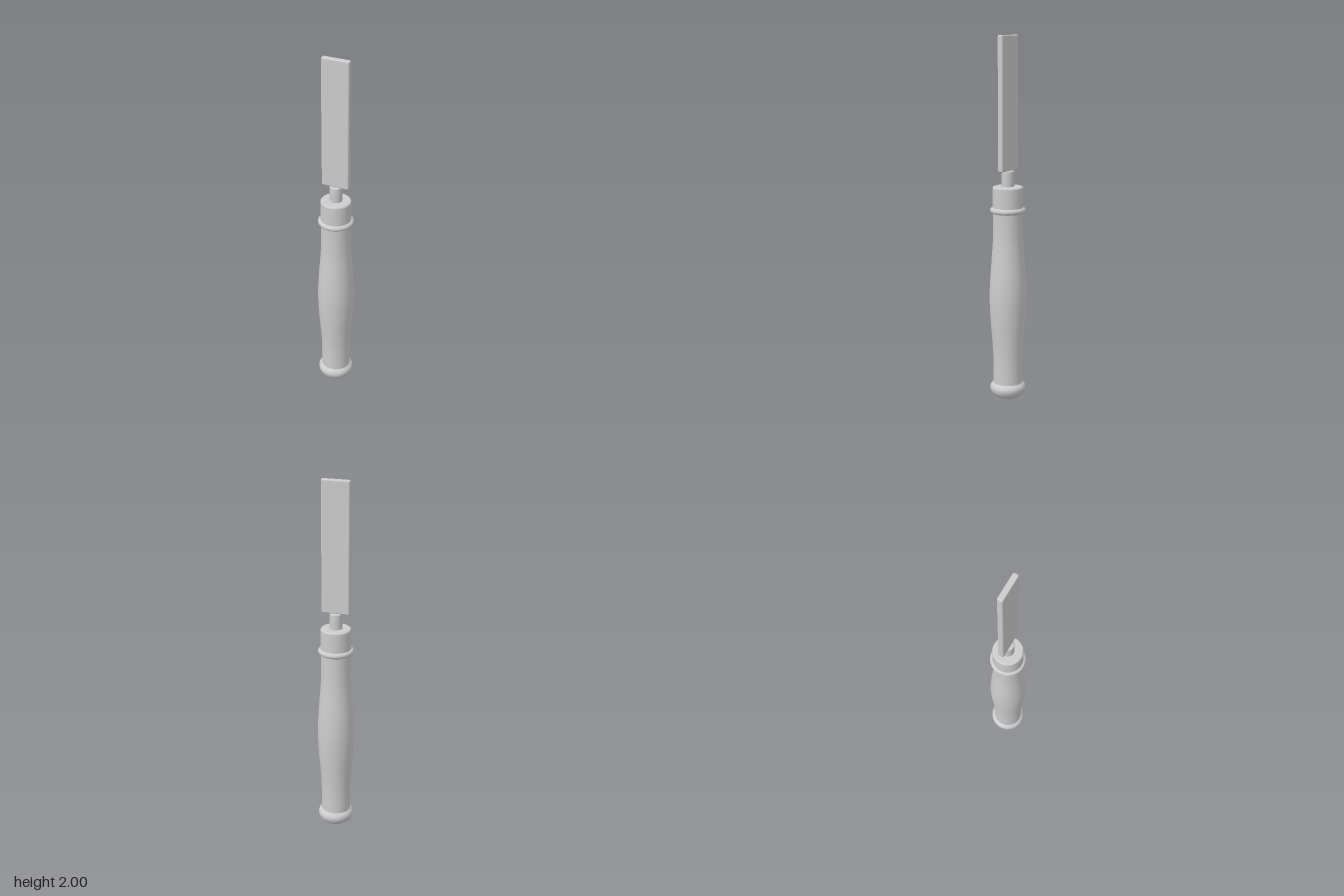
import * as THREE from 'three';
import { RoundedBoxGeometry } from 'three/addons/geometries/RoundedBoxGeometry.js';

export function createModel() {
  const group = new THREE.Group();
  const grey = new THREE.MeshStandardMaterial({ color: 0xcccccc });
  grey.name = 'plain grey';

  const add = (name, geometry, y = 0) => {
    const mesh = new THREE.Mesh(geometry, grey);
    mesh.name = name;
    mesh.position.y = y;
    group.add(mesh);
    return mesh;
  };
  const turned = (points) =>
    new THREE.LatheGeometry(points.map(([r, y]) => new THREE.Vector2(r, y)), 64);

  // Rounded butt knob: shallow dome below, tighter shoulder above
  const knob = [];
  for (let i = 0; i <= 24; i++) {
    const a = -Math.PI / 2 + (Math.PI * i) / 24;
    knob.push([Math.max(0, 0.099 * Math.cos(a)), 0.068 + (a < 0 ? 0.068 : 0.052) * Math.sin(a)]);
  }
  add('buttKnob', turned(knob));

  // Swelling grip
  const gripCurve = new THREE.SplineCurve([
    [0.081, 0.08], [0.081, 0.16], [0.082, 0.25], [0.088, 0.35], [0.096, 0.45], [0.101, 0.57],
    [0.098, 0.68], [0.09, 0.79], [0.083, 0.89], [0.081, 0.98], [0.081, 1.07],
  ].map(([r, y]) => new THREE.Vector2(r, y)));
  add('grip', new THREE.LatheGeometry(gripCurve.getPoints(50), 64));

  // Raised ring
  const ring = add('collarRing', new THREE.TorusGeometry(0.081, 0.016, 16, 64), 1.07);
  ring.rotation.x = Math.PI / 2;

  // Ferrule with a softened top edge
  const ferrule = [[0.083, 1.06], [0.083, 1.12], [0.083, 1.19]];
  for (let i = 1; i <= 6; i++) {
    const a = (Math.PI / 2) * (i / 6);
    ferrule.push([0.073 + 0.01 * Math.cos(a), 1.19 + 0.01 * Math.sin(a)]);
  }
  ferrule.push([0.06, 1.2], [0, 1.2]);
  add('ferrule', turned(ferrule));

  // Round neck with its top edge eased
  add('neck', turned([
    [0.034, 1.195], [0.034, 1.24], [0.034, 1.279], [0.032, 1.284], [0.028, 1.286], [0, 1.286],
  ]));

  // Flat blade
  add('blade', new RoundedBoxGeometry(0.154, 0.716, 0.032, 4, 0.007), 1.642);

  return group;
}
